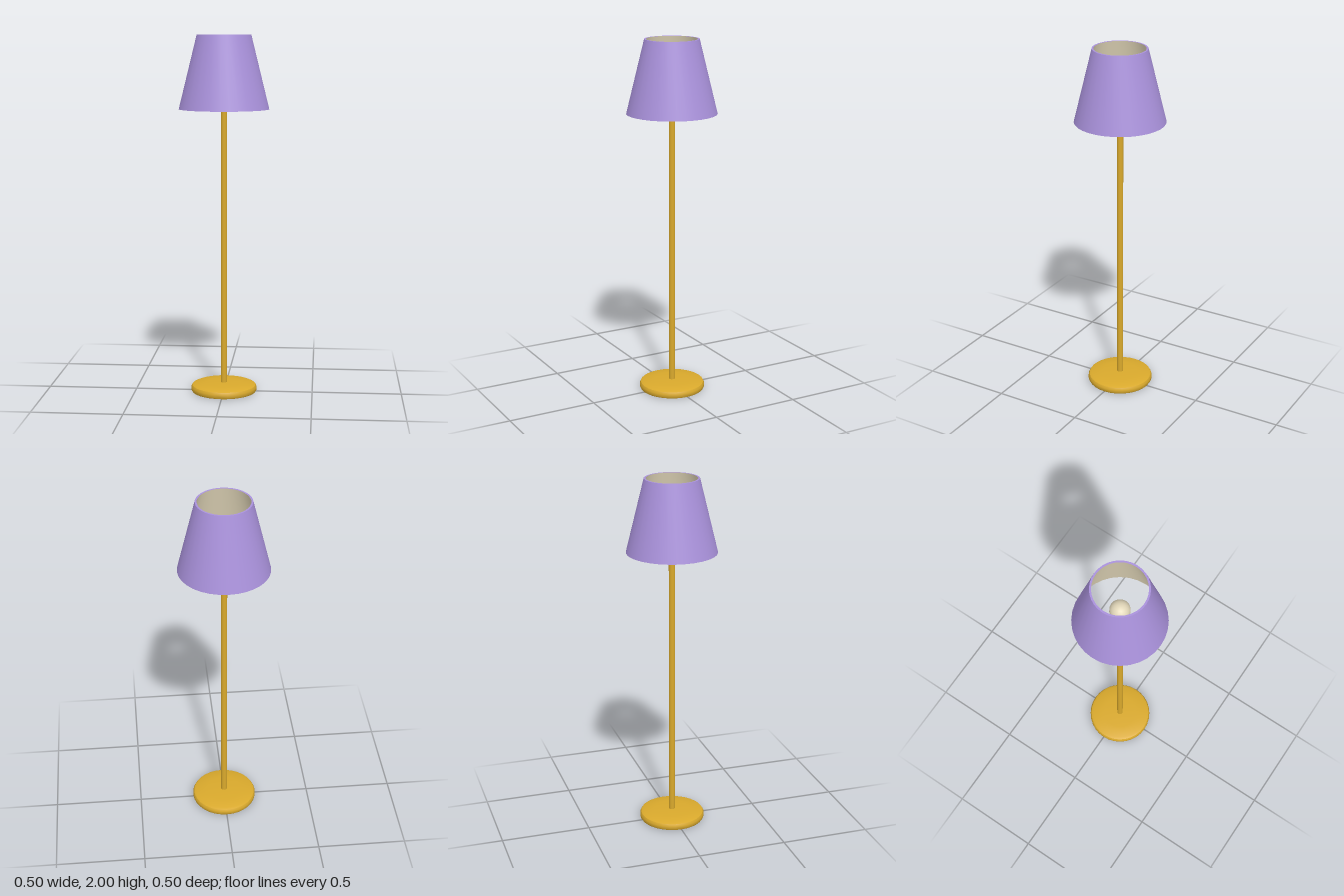
import * as THREE from 'three';
import { toCreasedNormals } from 'three/addons/utils/BufferGeometryUtils.js';

const material = (name, color) => {
  const m = new THREE.MeshStandardMaterial({ color });
  m.name = name;
  return m;
};

// Turned part from [radius, height] pairs, with sharp edges kept
function turned(profile, sides) {
  const points = profile.map(([r, y]) => new THREE.Vector2(r, y));
  return toCreasedNormals(new THREE.LatheGeometry(points, sides), 0.6);
}

export function createModel() {
  const lamp = new THREE.Group();
  lamp.name = 'floorLamp';
  const brass = material('brass', 0xd9a92c);
  const lilac = material('lilac fabric', 0xaa92dc);
  const cream = material('warm cream', 0xe3d8ba);

  const add = (name, geometry, mat, y = 0) => {
    const mesh = new THREE.Mesh(geometry, mat);
    mesh.name = name;
    mesh.position.y = y;
    lamp.add(mesh);
  };

  // Weighted foot with rounded rim and slightly domed top
  add('base', turned([
    [0, 0], [0.18, 0], [0.185, 0.008], [0.185, 0.025],
    [0.179, 0.036], [0.165, 0.042], [0.1, 0.047], [0, 0.05],
  ], 32), brass);

  // Pole and bulb holder
  add('pole', new THREE.CylinderGeometry(0.0175, 0.0175, 1.6, 16), brass, 0.84);
  add('socket', new THREE.CylinderGeometry(0.035, 0.035, 0.06, 16), brass, 1.65);
  add('bulb', new THREE.SphereGeometry(0.055, 16, 12), cream, 1.73);

  // Open tapered shade with thin rims, and its pale inside face
  add('shade', turned([[0.24, 1.595], [0.25, 1.595], [0.15, 2], [0.14, 2]], 32), lilac);
  add('shadeLining', turned([[0.14, 2], [0.24, 1.595]], 32), cream);

  return lamp;
}
